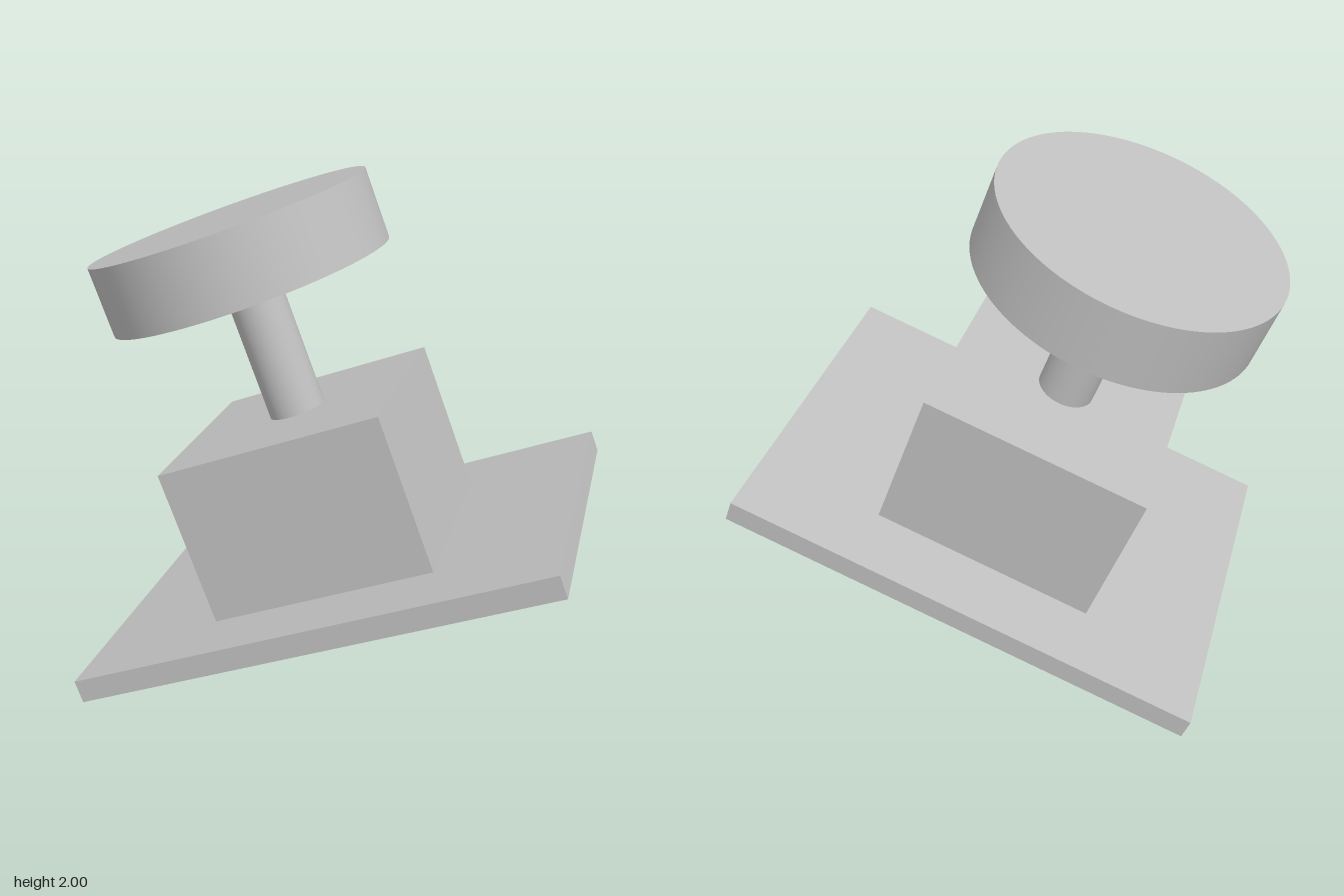
import * as THREE from 'three';

export function createModel() {
  const grey = new THREE.MeshStandardMaterial({ color: 0xc0c0c0 });
  grey.name = 'light grey';

  const model = new THREE.Group();
  model.name = 'tiltedPedestal';

  // The whole stack leans 20 degrees; its local origin is the middle of the plate's underside
  const stack = new THREE.Group();
  stack.name = 'tiltedStack';
  stack.position.set(0.075, 0.337, 0);
  stack.rotation.z = THREE.MathUtils.degToRad(20);
  model.add(stack);

  // Each part sits on top of the previous one
  let level = 0;
  const addPart = (name, geometry, height) => {
    const mesh = new THREE.Mesh(geometry, grey);
    mesh.name = name;
    mesh.position.y = level + height / 2;
    level += height;
    stack.add(mesh);
  };

  addPart('basePlate', new THREE.BoxGeometry(1.97, 0.092, 1.5), 0.092);
  addPart('block', new THREE.BoxGeometry(0.925, 0.64, 0.925), 0.64);
  addPart('shaft', new THREE.CylinderGeometry(0.115, 0.115, 0.537, 64), 0.537);
  addPart('disc', new THREE.CylinderGeometry(0.578, 0.578, 0.287, 96), 0.287);

  return model;
}
